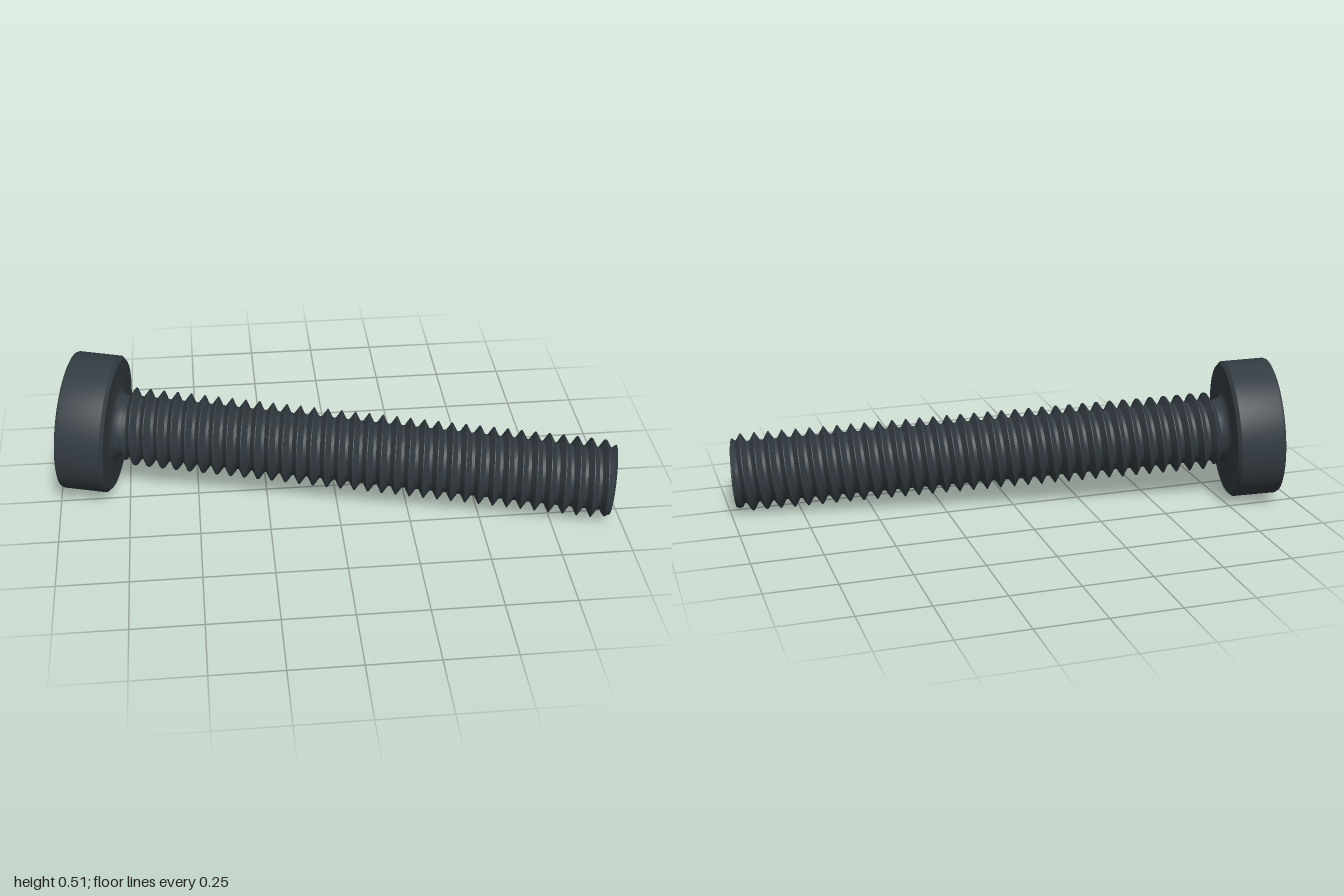
import * as THREE from 'three';
import { toCreasedNormals } from 'three/addons/utils/BufferGeometryUtils.js';

const HEAD_R = 0.25, HEAD_H = 0.174, BEVEL = 0.012;
const LENGTH = 1.97, MAJOR = 0.141, MINOR = 0.112, TIP_R = 0.126;
const PITCH = 0.05, THREAD_START = 0.205;
const SOCKET_R = 0.098, SOCKET_DEPTH = 0.1;

// Helical thread: rows follow the helix and are clamped at both ends of the shaft
function threadGeometry() {
  const profile = [[0, 0], [0.22, 0], [0.4, 0.5], [0.58, 1], [0.64, 1], [0.82, 0.5]];
  const seg = 48, pos = [], index = [];
  const turns = Math.ceil((LENGTH - THREAD_START) / PITCH) + 1;
  const heightAt = (f) => {
    if (f < 0.22) return 0;
    if (f < 0.58) return (f - 0.22) / 0.36;
    if (f < 0.64) return 1;
    return (1 - f) / 0.36;
  };
  let rows = 0;
  for (let k = -1; k < turns; k++) {
    for (const [f] of profile) {
      for (let j = 0; j <= seg; j++) {
        const turn = j / seg, a = turn * Math.PI * 2;
        const y = THREE.MathUtils.clamp(THREAD_START + (k + f + turn) * PITCH, THREAD_START, LENGTH);
        const phase = (y - THREAD_START) / PITCH - turn;
        const h = heightAt(phase - Math.floor(phase));
        // chamfer at the tip and run-out below the head
        const limit = Math.min(TIP_R + (LENGTH - y) * 0.6, MINOR + (y - THREAD_START) * 1.2);
        const r = Math.min(MINOR + (MAJOR - MINOR) * h, Math.max(limit, MINOR));
        // the last stretch closes to a plain rim
        const rim = THREE.MathUtils.clamp(1 - (LENGTH - y) / 0.018, 0, 1);
        const radius = THREE.MathUtils.lerp(r, TIP_R, rim);
        pos.push(radius * Math.cos(a), y, -radius * Math.sin(a));
      }
      rows++;
    }
  }
  for (let i = 0; i < rows - 1; i++) {
    for (let j = 0; j < seg; j++) {
      const a = i * (seg + 1) + j, b = a + seg + 1;
      index.push(a, a + 1, b, a + 1, b + 1, b);
    }
  }
  const g = new THREE.BufferGeometry();
  g.setAttribute('position', new THREE.Float32BufferAttribute(pos, 3));
  g.setIndex(index);
  return toCreasedNormals(g, 0.5);
}

export function createModel() {
  const model = new THREE.Group();
  model.name = 'socketScrew';
  const steel = new THREE.MeshStandardMaterial({ color: 0x343c42, side: THREE.DoubleSide });
  steel.name = 'dark steel';

  // Local y runs along the screw, from the head face to the tip
  const screw = new THREE.Group();
  screw.name = 'screw';
  const axis = new THREE.Vector3(1.915, -0.12, 0.405).normalize();
  const side = new THREE.Vector3(0, 1, 0).addScaledVector(axis, -axis.y).normalize();
  const across = new THREE.Vector3().crossVectors(side, axis);
  screw.quaternion.setFromRotationMatrix(new THREE.Matrix4().makeBasis(side, axis, across));
  screw.position.set(-0.95, 0.261, -0.145);
  model.add(screw);

  const add = (name, geometry, y = 0) => {
    const mesh = new THREE.Mesh(geometry, steel);
    mesh.name = name;
    mesh.position.y = y;
    screw.add(mesh);
  };

  // Head wall, underside and the filleted neck
  const profile = [
    [HEAD_R - BEVEL, 0], [HEAD_R - BEVEL * 0.3, BEVEL * 0.3], [HEAD_R, BEVEL],
    [HEAD_R, HEAD_H - BEVEL], [HEAD_R - BEVEL, HEAD_H],
    [0.142, HEAD_H], [0.127, HEAD_H + 0.004], [0.117, HEAD_H + 0.013], [MINOR, THREAD_START],
  ].map(([r, y]) => new THREE.Vector2(r, y));
  add('headAndNeck', toCreasedNormals(new THREE.LatheGeometry(profile, 96), 0.6));

  // Head face with a hexagonal opening
  const face = new THREE.Shape().absarc(0, 0, HEAD_R - BEVEL, 0, Math.PI * 2);
  const hex = [];
  for (let i = 0; i < 6; i++) {
    const a = -i * Math.PI / 3;
    hex.push(new THREE.Vector2(SOCKET_R * Math.cos(a), SOCKET_R * Math.sin(a)));
  }
  face.holes.push(new THREE.Path(hex));
  add('headFace', new THREE.ShapeGeometry(face, 48).rotateX(Math.PI / 2));

  // Hexagonal socket
  const wall = new THREE.CylinderGeometry(SOCKET_R, SOCKET_R, SOCKET_DEPTH, 6, 1, true)
    .rotateY(Math.PI / 2).toNonIndexed();
  wall.computeVertexNormals();
  add('socketWalls', wall, SOCKET_DEPTH / 2);
  add('socketFloor', new THREE.CircleGeometry(SOCKET_R, 6).rotateX(Math.PI / 2), SOCKET_DEPTH);

  // Threaded shaft and its flat tip
  add('threadedShaft', threadGeometry());
  add('tip', new THREE.CircleGeometry(TIP_R, 48).rotateX(-Math.PI / 2), LENGTH);

  return model;
}
